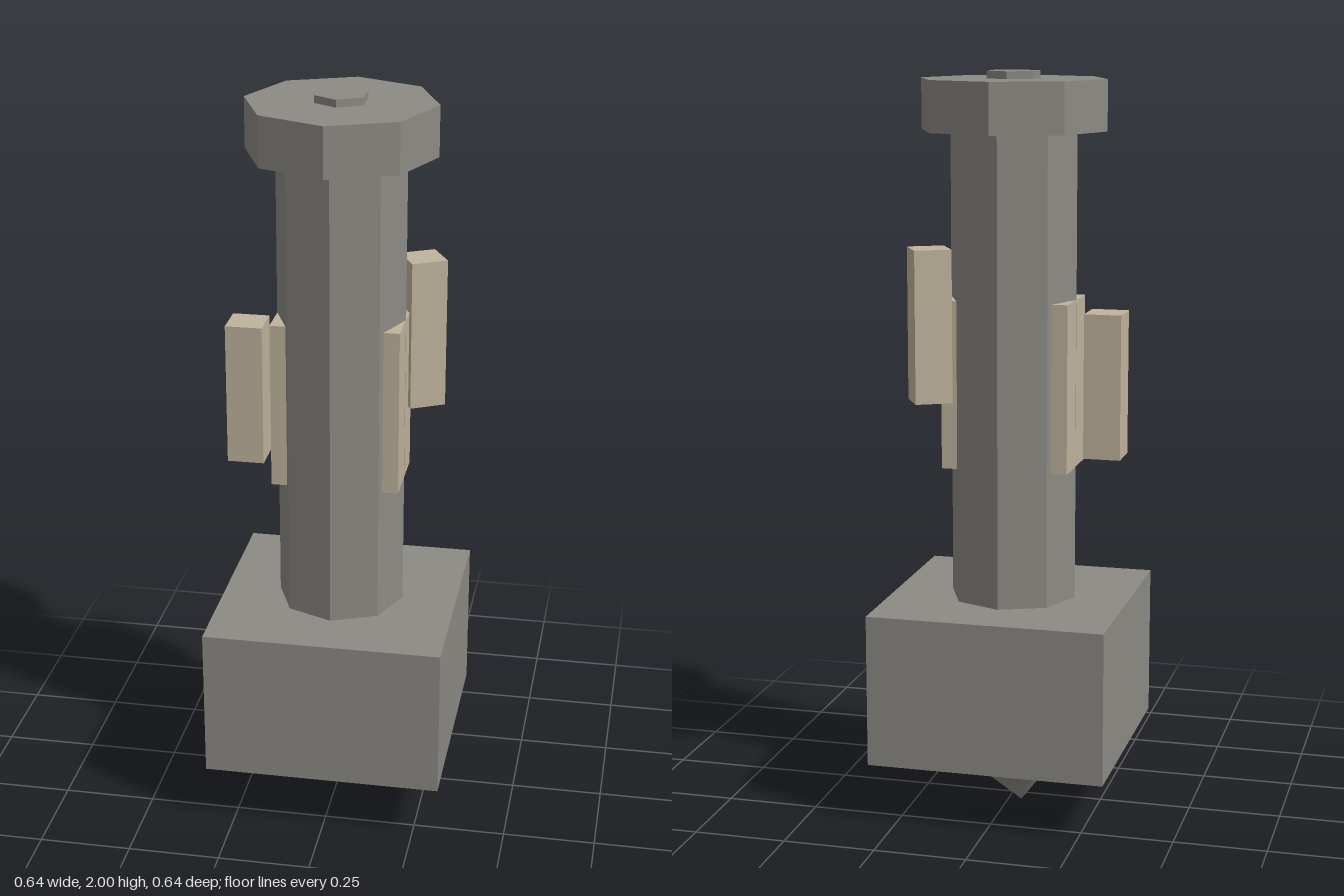
import * as THREE from 'three';
import { ConvexGeometry } from 'three/addons/geometries/ConvexGeometry.js';

export function createModel() {
  const model = new THREE.Group();
  model.name = 'stonePillar';

  const material = (name, color) => {
    const m = new THREE.MeshStandardMaterial({ color });
    m.name = name;
    return m;
  };
  const stone = material('grey stone', 0x8c8a84);
  const sand = material('pale sandstone', 0xbfb39c);
  const earth = material('brown earth', 0x85603f);

  const add = (name, geometry, mat, x = 0, y = 0, z = 0, turn = 0) => {
    const mesh = new THREE.Mesh(geometry, mat);
    mesh.name = name;
    mesh.position.set(x, y, z);
    mesh.rotation.y = turn;
    model.add(mesh);
    return mesh;
  };

  // Upright prism with flat sides between two heights
  const prism = (name, radius, sides, y0, y1) => {
    const geometry = new THREE.CylinderGeometry(radius, radius, y1 - y0, sides).toNonIndexed();
    geometry.computeVertexNormals();
    add(name, geometry, stone, 0, (y0 + y1) / 2, 0);
  };

  // Base block, column, capital and top stud
  add('base', new THREE.BoxGeometry(0.645, 0.415, 0.645), stone, 0, 0.3725, 0);
  prism('column', 0.173, 8, 0.58, 1.845);
  prism('capital', 0.253, 8, 1.845, 1.98);
  prism('topStud', 0.073, 6, 1.98, 2.0);

  // Slab set through the column
  add('columnSlab', new THREE.BoxGeometry(0.345, 0.455, 0.21), sand, 0, 1.1725, 0);

  // Blocks hovering beside the column
  add('rightBlock', new THREE.BoxGeometry(0.1, 0.39, 0.102), sand, -0.255, 1.175, 0);
  add('leftBlock', new THREE.BoxGeometry(0.1, 0.41, 0.1), sand, 0.2015, 1.335, -0.1115, 0.49);

  // Rocks hanging under the base: rim corners [x, z] and a tip [x, y, z]
  const rock = (name, rim, tip) => {
    const points = rim.map(([x, z]) => new THREE.Vector3(x, 0.165, z));
    add(name, new ConvexGeometry([...points, new THREE.Vector3(...tip)]), stone);
  };
  rock('rootSpike', [[-0.02, 0.265], [0.144, -0.13], [-0.125, -0.186], [-0.17, 0.05]], [-0.035, 0, -0.05]);
  rock('frontPebble', [[0.16, 0.08], [0.215, 0.07], [0.2, 0.03], [0.15, 0.04]], [0.2, 0.135, 0.06]);
  rock('backPebble', [[0.1, -0.05], [0.2, -0.06], [0.21, -0.13], [0.12, -0.14]], [0.14, 0.13, -0.09]);

  // Earth patches on the underside
  add('leftEarthPatch', new THREE.BoxGeometry(0.07, 0.004, 0.3), earth, 0.23, 0.164, 0.07);
  add('rightEarthPatch', new THREE.BoxGeometry(0.07, 0.004, 0.42), earth, -0.22, 0.164, -0.02);

  return model;
}
